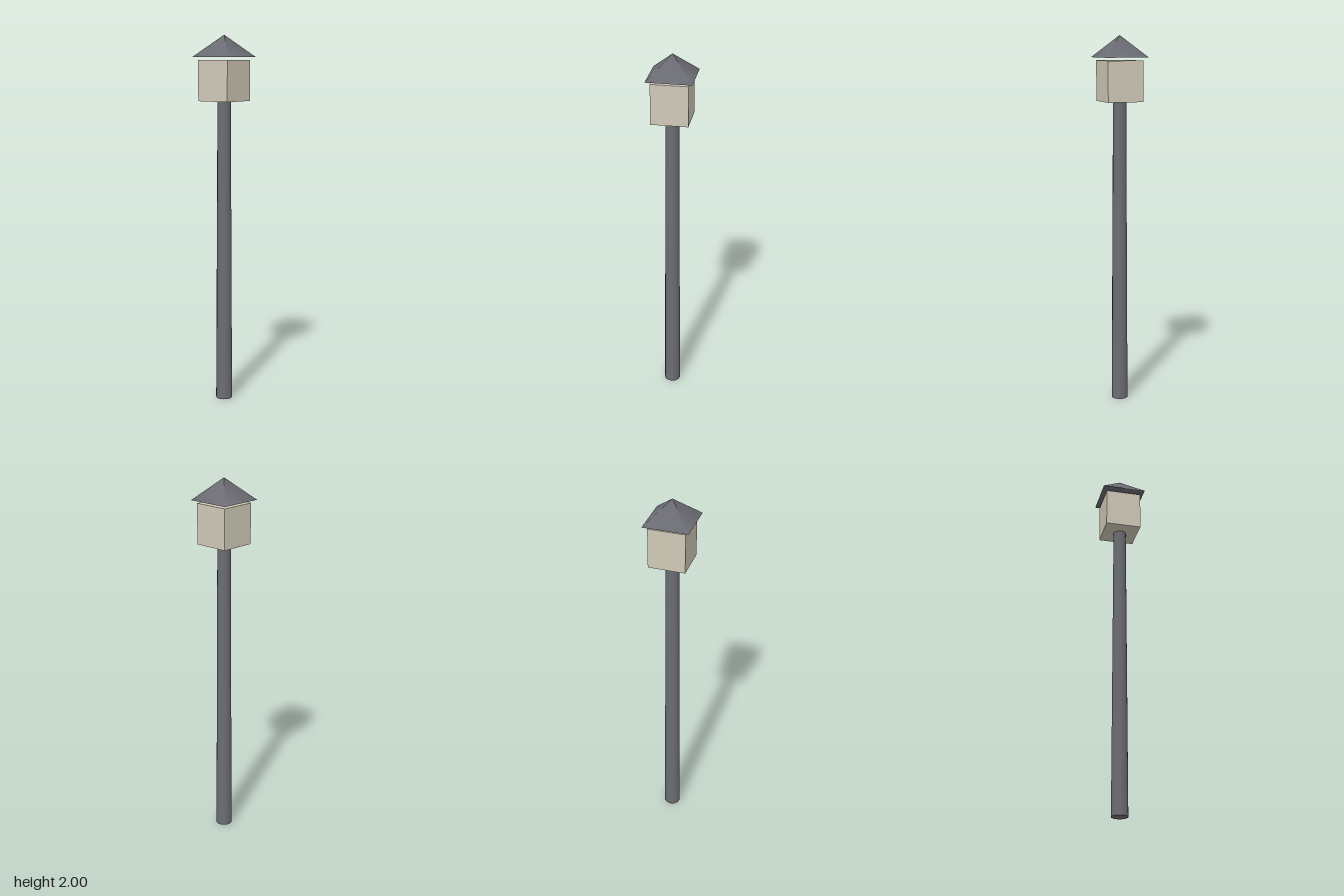
import * as THREE from 'three';

export function createModel() {
  const group = new THREE.Group();
  const metal = new THREE.MeshStandardMaterial({ color: 0x6c6c74 });
  metal.name = 'dark grey metal';
  const glass = new THREE.MeshStandardMaterial({ color: 0xd0cab8 });
  glass.name = 'cream glass';

  const add = (name, geometry, material, y) => {
    const mesh = new THREE.Mesh(geometry, material);
    mesh.name = name;
    mesh.position.y = y;
    group.add(mesh);
    return mesh;
  };

  // Slightly tapered post
  add('post', new THREE.CylinderGeometry(0.036, 0.045, 1.65, 12), metal, 0.825);

  // Lamp box on top of the post
  add('lampBox', new THREE.BoxGeometry(0.196, 0.216, 0.196), glass, 1.76);

  // Four-sided roof, floating just above the lamp box
  const roof = new THREE.ConeGeometry(0.12 * Math.SQRT2, 0.116, 4);
  roof.rotateY(Math.PI / 4);
  add('roof', roof, metal, 1.942);

  return group;
}
